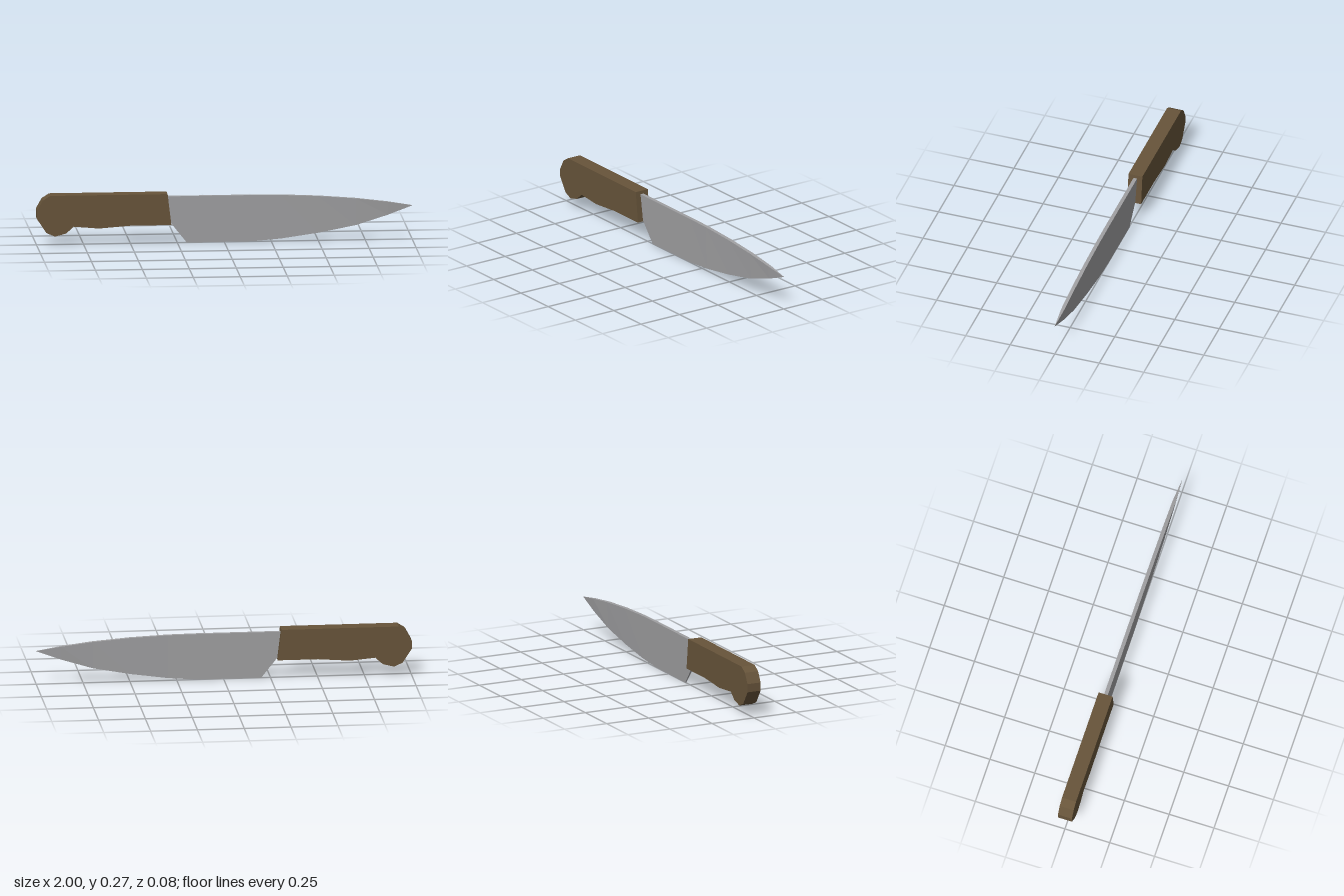
import * as THREE from 'three';

const wood = new THREE.MeshStandardMaterial({ color: 0x67543a, flatShading: true });
wood.name = 'brown wood';
const steel = new THREE.MeshStandardMaterial({ color: 0xa0a0a2, flatShading: true });
steel.name = 'grey steel';

// Handle: faceted side outline extruded across z
function createHandle() {
  const outline = [
    [-0.93, 0.27], [-0.97, 0.245], [-1, 0.19], [-1, 0.145], [-0.95, 0.07], [-0.905, 0.05],
    [-0.845, 0.066], [-0.805, 0.102], [-0.67, 0.09], [-0.5, 0.103], [-0.285, 0.103], [-0.305, 0.27],
  ].map(([x, y]) => new THREE.Vector2(x, y));
  const geometry = new THREE.ExtrudeGeometry(new THREE.Shape(outline), { depth: 0.078, bevelEnabled: false });
  geometry.translate(0, 0, -0.039);
  const mesh = new THREE.Mesh(geometry, wood);
  mesh.name = 'handle';
  return mesh;
}

// Blade: four-cornered sections tapering from a thick spine to a thin cutting edge
function createBlade() {
  // [spine x, spine y, edge x, edge y, spine half thickness, edge half thickness]
  const stations = [
    [-0.31, 0.252, -0.291, 0.115, 0.01, 0.006],
    [-0.2, 0.252, -0.2, 0, 0.01, 0.003],
    [0.15, 0.252, 0.15, 0.002, 0.01, 0.003],
    [0.3, 0.25, 0.3, 0.014, 0.01, 0.003],
    [0.5, 0.241, 0.5, 0.042, 0.01, 0.003],
    [0.7, 0.225, 0.7, 0.08, 0.01, 0.003],
    [0.87, 0.204, 0.87, 0.133, 0.009, 0.003],
    [1, 0.183, 1, 0.181, 0.0005, 0.0005],
  ];
  const positions = [];
  for (const [sx, sy, ex, ey, s, e] of stations) {
    positions.push(sx, sy, s, ex, ey, e, ex, ey, -e, sx, sy, -s);
  }
  const index = [];
  const quad = (a, b, c, d) => index.push(a, b, c, a, c, d);
  const last = stations.length - 1;
  for (let i = 0; i < last; i++) {
    for (let j = 0; j < 4; j++) {
      const k = (j + 1) % 4;
      quad(i * 4 + j, i * 4 + k, i * 4 + 4 + k, i * 4 + 4 + j);
    }
  }
  quad(3, 2, 1, 0);
  quad(last * 4, last * 4 + 1, last * 4 + 2, last * 4 + 3);
  const indexed = new THREE.BufferGeometry();
  indexed.setAttribute('position', new THREE.Float32BufferAttribute(positions, 3));
  indexed.setIndex(index);
  const geometry = indexed.toNonIndexed();
  geometry.computeVertexNormals();
  const mesh = new THREE.Mesh(geometry, steel);
  mesh.name = 'blade';
  return mesh;
}

export function createModel() {
  const knife = new THREE.Group();
  knife.name = 'kitchen knife';
  knife.add(createHandle(), createBlade());
  return knife;
}
